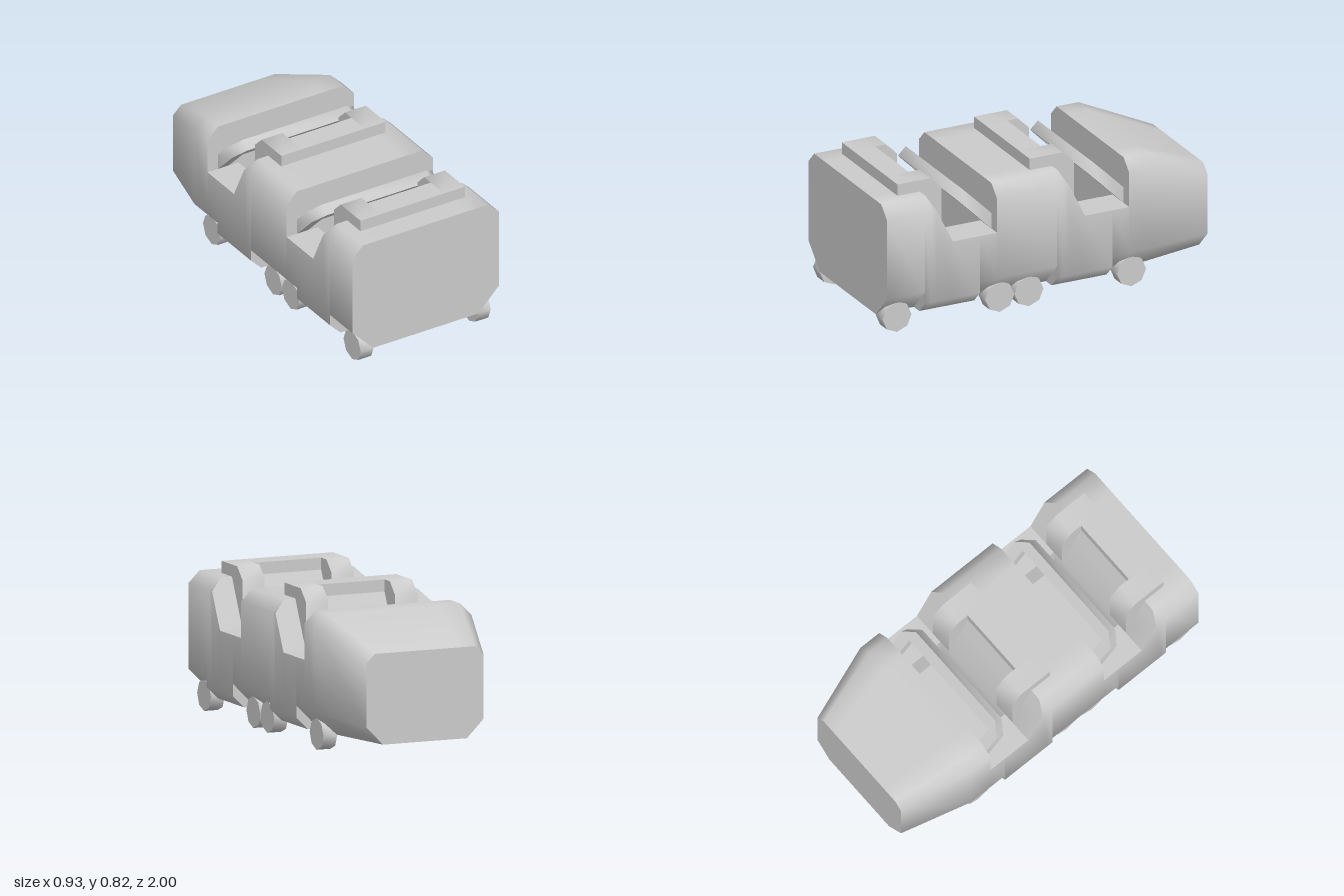
import * as THREE from 'three';
import { toCreasedNormals } from 'three/addons/utils/BufferGeometryUtils.js';

const FLOOR = 0.09, TOP = 0.757, SILL = 0.49, WELL = 0.25, HALF = 0.467;
const material = new THREE.MeshStandardMaterial({ color: 0xcccccc });

function addMesh(parent, name, geometry) {
  const mesh = new THREE.Mesh(toCreasedNormals(geometry, 0.9), material);
  mesh.name = name;
  parent.add(mesh);
  return mesh;
}

function polygon(points) {
  return new THREE.Shape(points.map(([x, y]) => new THREE.Vector2(x, y)));
}

function extrude(points, depth) {
  return new THREE.ExtrudeGeometry(polygon(points), { depth, bevelEnabled: false });
}

// Hull cross-section at z: top height, bottom chamfer, footwell floor and scale
function section({ z, top = TOP, chamfer = 0.067, well = top, scale = 1 }) {
  const shoulder = Math.min(top, 0.69);
  const topX = HALF - (top - shoulder);
  const right = [
    [HALF - chamfer, FLOOR], [HALF, FLOOR + chamfer], [HALF, shoulder],
    [topX, top], [0.27, top], [0.27, well],
  ];
  const left = right.map(([x, y]) => [-x, y]).reverse();
  return [...right, ...left].map(([x, y]) =>
    new THREE.Vector3(x * scale, FLOOR + (y - FLOOR) * scale, z));
}

// Skin between consecutive sections, running from front to back
function loft(sections) {
  const positions = [];
  const triangle = (a, b, c) => {
    const area = b.clone().sub(a).cross(c.clone().sub(a)).length();
    if (area > 1e-7) for (const p of [a, b, c]) positions.push(p.x, p.y, p.z);
  };
  const n = sections[0].length;
  for (let s = 0; s < sections.length - 1; s++) {
    const near = sections[s], far = sections[s + 1];
    for (let i = 0; i < n; i++) {
      const j = (i + 1) % n;
      triangle(near[i], far[i], near[j]);
      triangle(near[j], far[i], far[j]);
    }
  }
  const first = sections[0], last = sections[sections.length - 1];
  for (let i = 1; i < n - 1; i++) {
    triangle(first[0], first[i], first[i + 1]);
    triangle(last[0], last[i + 1], last[i]);
  }
  const geometry = new THREE.BufferGeometry();
  geometry.setAttribute('position', new THREE.Float32BufferAttribute(positions, 3));
  return geometry;
}

// Hull stations: two open cockpits, wheel cutaways along the lower edges, tapered nose
function hullGeometry() {
  const wide = 0.133;
  const cockpit = (offset, stepZ) => [
    { z: 0.733 + offset },
    { z: 0.7 + offset, top: 0.69 },
    { z: 0.6 + offset, top: SILL },
    { z: 0.6 + offset, top: SILL, well: WELL },
    { z: stepZ, top: SILL, well: WELL },
    { z: stepZ, top: SILL, well: WELL, chamfer: wide },
    { z: 0.333 + offset, top: SILL, well: WELL, chamfer: wide },
    { z: 0.333 + offset, chamfer: wide },
  ];
  return loft([
    { z: 1, chamfer: wide },
    { z: 0.77, chamfer: wide },
    { z: 0.77 },
    ...cockpit(0, 0.437),
    { z: -0.03, chamfer: wide },
    { z: -0.03 },
    ...cockpit(-0.8, -0.365),
    { z: -0.6, chamfer: wide },
    { z: -1, chamfer: wide, scale: 0.75 },
  ].map(section));
}

// Seat: backrest between two side wings with sloped front corners
function createSeat() {
  const seat = new THREE.Group();
  seat.name = 'seat';
  const wing = [[-0.867, SILL], [-0.6, SILL], [-0.6, 0.757], [-0.667, 0.823], [-0.867, 0.823]];
  for (const [name, x] of [['leftSeatWing', 0.2], ['rightSeatWing', -0.333]]) {
    addMesh(seat, name, extrude(wing, 0.133).rotateY(Math.PI / 2).translate(x, 0, 0));
  }
  const back = new THREE.BoxGeometry(0.4, 0.823 - SILL, 0.134);
  addMesh(seat, 'backrest', back.translate(0, (0.823 + SILL) / 2, 0.8));
  return seat;
}

// Leaning frame ahead of each seat
function createFrame() {
  const group = new THREE.Group();
  const outline = [
    [-0.4, 0], [-0.333, 0], [-0.333, 0.205], [0.333, 0.205], [0.333, 0], [0.4, 0],
    [0.4, 0.205], [0.333, 0.272], [-0.333, 0.272], [-0.4, 0.205],
  ];
  const frame = addMesh(group, 'windscreenFrame', extrude(outline, 0.064).translate(0, 0, -0.064));
  frame.position.set(0, SILL, 0.333);
  frame.rotation.x = Math.PI / 4;
  return frame;
}

export function createModel() {
  const model = new THREE.Group();
  model.name = 'rideCar';
  addMesh(model, 'hull', hullGeometry());

  for (const offset of [0, -0.8]) {
    const cockpit = new THREE.Group();
    cockpit.name = offset ? 'rearCockpit' : 'frontCockpit';
    cockpit.add(createSeat(), createFrame());
    cockpit.position.z = offset;
    model.add(cockpit);
  }

  // Eight-sided wheels under both edges
  const wheel = new THREE.CylinderGeometry(0.0875, 0.0875, 0.082, 8).rotateZ(Math.PI / 2);
  for (const z of [0.912, 0.29, 0.113, -0.508]) {
    for (const side of [1, -1]) {
      const mesh = addMesh(model, side > 0 ? 'leftWheel' : 'rightWheel', wheel);
      mesh.position.set(side * 0.374, 0.0875, z);
    }
  }
  return model;
}
